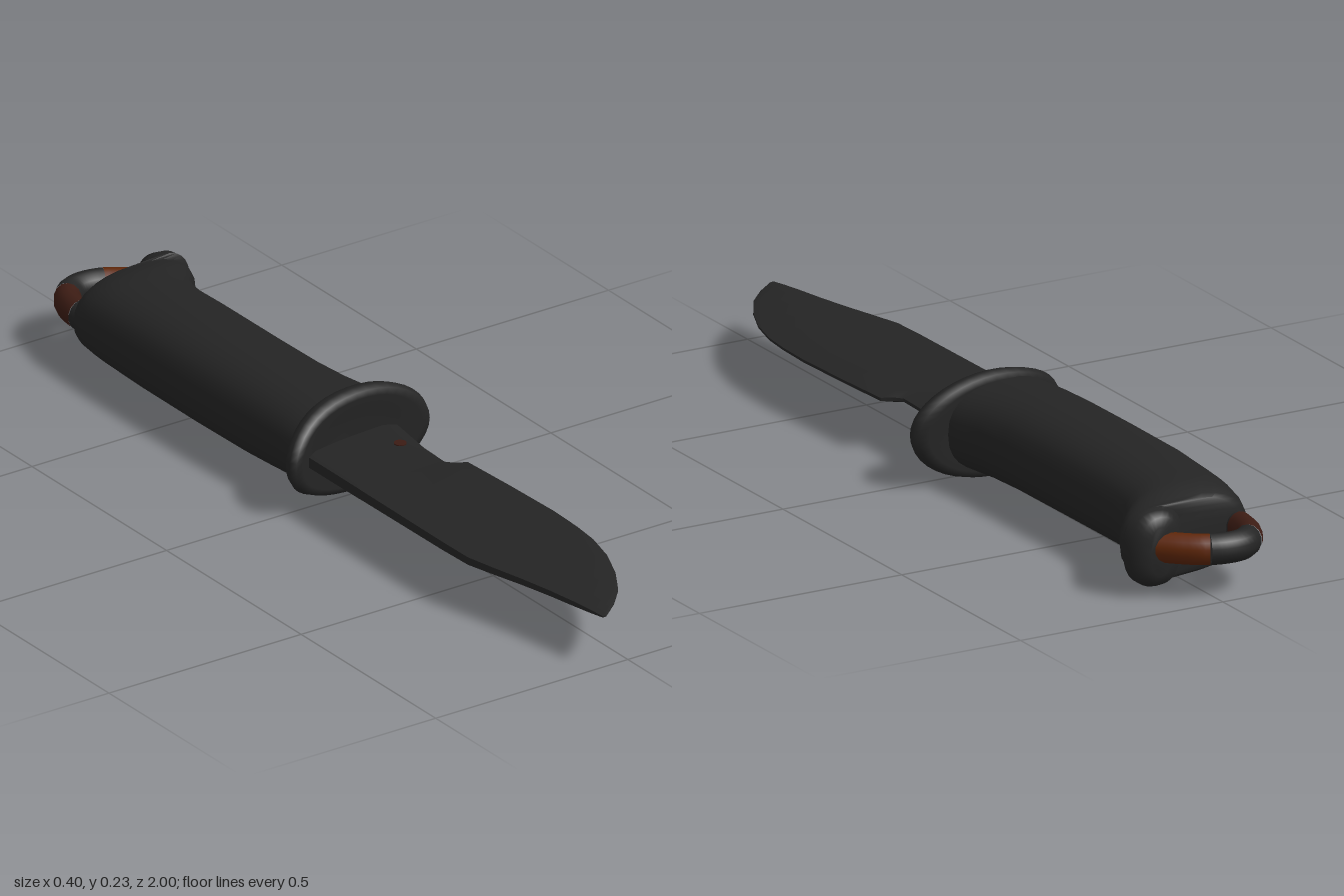
import * as THREE from 'three';
import { toCreasedNormals } from 'three/addons/utils/BufferGeometryUtils.js';

const mat = (name, color) => {
  const m = new THREE.MeshStandardMaterial({ color });
  m.name = name;
  return m;
};

// Skin closed rings of [x, y, z], counter-clockwise seen from +z, ordered by rising z
function loft(rings, crease) {
  const n = rings[0].length, pos = rings.flat(2), idx = [];
  for (let i = 0; i < rings.length - 1; i++) {
    for (let j = 0; j < n; j++) {
      const k = (j + 1) % n, a = i * n + j, b = i * n + k;
      idx.push(a, b, b + n, a, b + n, a + n);
    }
  }
  const last = (rings.length - 1) * n;
  for (let j = 1; j < n - 1; j++) {
    idx.push(0, j + 1, j, last, last + j, last + j + 1);
  }
  const g = new THREE.BufferGeometry();
  g.setAttribute('position', new THREE.Float32BufferAttribute(pos, 3));
  g.setIndex(idx);
  return toCreasedNormals(g, crease);
}

// Rounded, slightly squared cross-section
function ovalRing([z, xl, xr, yb, yt], n = 28) {
  const f = v => Math.sign(v) * Math.pow(Math.abs(v), 0.82);
  return Array.from({ length: n }, (_, j) => {
    const a = j / n * Math.PI * 2;
    return [(xl + xr) / 2 + f(Math.cos(a)) * (xr - xl) / 2,
      (yb + yt) / 2 + f(Math.sin(a)) * (yt - yb) / 2, z];
  });
}

export function createModel() {
  const black = mat('black', 0x242424);
  const rust = mat('rust', 0x5e2608);
  const brown = mat('dark brown', 0x3c1c14);
  const model = new THREE.Group();
  const add = (name, geo, material) => {
    const m = new THREE.Mesh(geo, material);
    m.name = name;
    model.add(m);
    return m;
  };

  // Grip with the hooked butt: z, left x, right x, bottom y, top y
  const grip = [
    [-0.912, 0.075, 0.125, 0.05, 0.16],
    [-0.905, 0.05, 0.145, 0.03, 0.18],
    [-0.885, 0.035, 0.162, 0.02, 0.19],
    [-0.866, 0.02, 0.168, 0.02, 0.192],
    [-0.858, -0.13, 0.166, 0.025, 0.192],
    [-0.845, -0.15, 0.163, 0.021, 0.196],
    [-0.82, -0.158, 0.15, 0.019, 0.205],
    [-0.79, -0.16, 0.125, 0.018, 0.211],
    [-0.75, -0.162, 0.104, 0.018, 0.214],
    [-0.69, -0.164, 0.092, 0.018, 0.217],
    [-0.6, -0.166, 0.09, 0.016, 0.222],
    [-0.4, -0.166, 0.09, 0.015, 0.223],
    [-0.23, -0.164, 0.093, 0.016, 0.223],
    [-0.14, -0.161, 0.103, 0.018, 0.222],
    [-0.08, -0.159, 0.118, 0.02, 0.22],
    [-0.03, -0.157, 0.13, 0.022, 0.218],
  ];
  add('grip', loft(grip.map(r => ovalRing(r)), 0.9), black);

  // Oval hand guard, its left end swept towards the blade
  const rim = [[0, -0.02], [0.3, -0.02], [0.6, -0.02], [0.85, -0.024], [0.96, -0.019], [1, 0],
    [0.96, 0.019], [0.85, 0.024], [0.6, 0.018], [0.3, 0.018], [0, 0.018]];
  const guard = new THREE.LatheGeometry(rim.map(p => new THREE.Vector2(...p)), 40);
  guard.rotateX(Math.PI / 2);
  const p = guard.attributes.position;
  for (let i = 0; i < p.count; i++) {
    const u = p.getX(i);
    const bend = -0.027 - 0.018 * u + (u < 0 ? 0.04 : 0.014) * Math.pow(Math.abs(u), 3);
    p.setXYZ(i, u * 0.202, 0.118 + p.getY(i) * 0.117, p.getZ(i) + bend);
  }
  guard.computeVertexNormals();
  add('guard', guard, black);

  // Blade: z, spine x, edge x, half thickness
  const blade = [
    [-0.04, -0.145, 0.115, 0.015],
    [0.04, -0.145, 0.103, 0.015],
    [0.11, -0.145, 0.093, 0.015],
    [0.19, -0.145, 0.09, 0.0145],
    [0.205, -0.145, 0.103, 0.0145],
    [0.22, -0.145, 0.13, 0.014],
    [0.36, -0.145, 0.138, 0.013],
    [0.52, -0.145, 0.144, 0.012],
    [0.61, -0.143, 0.141, 0.011],
    [0.68, -0.127, 0.134, 0.01],
    [0.76, -0.107, 0.114, 0.009],
    [0.84, -0.09, 0.08, 0.008],
    [0.91, -0.078, 0.038, 0.007],
    [0.96, -0.07, -0.008, 0.005],
    [0.998, -0.064, -0.054, 0.002],
  ];
  add('blade', loft(blade.map(([z, l, r, t]) => {
    const w = r - l, y = 0.119, e = t * 0.25;
    return [[l, y - t * 0.8, z], [l + w * 0.08, y - t, z], [r - w * 0.14, y - t * 0.9, z], [r, y - e, z],
      [r, y + e, z], [r - w * 0.14, y + t * 0.9, z], [l + w * 0.08, y + t, z], [l, y + t * 0.8, z]];
  }), 0.5), black);

  // Small mark on the blade face
  const mark = add('bladeMark', new THREE.CylinderGeometry(0.014, 0.014, 0.003, 16), brown);
  mark.position.set(0.052, 0.1335, 0.08);

  // Lanyard loop, split into coloured stretches along one curve
  const path = new THREE.CatmullRomCurve3([
    [-0.118, -0.82], [-0.119, -0.88], [-0.103, -0.935], [-0.07, -0.966], [-0.03, -0.972],
    [0.015, -0.96], [0.055, -0.93], [0.105, -0.88],
  ].map(([x, z]) => new THREE.Vector3(x, 0.11, z)));
  const stretches = [
    ['loopRoot', 0, 0.12, black], ['loopLeftBand', 0.12, 0.36, brown],
    ['loopTop', 0.36, 0.66, black], ['loopRightBand', 0.66, 1, rust],
  ];
  for (const [name, a, b, material] of stretches) {
    const pts = Array.from({ length: 9 }, (_, i) => path.getPointAt(a + (b - a) * i / 8));
    const tube = new THREE.TubeGeometry(new THREE.CatmullRomCurve3(pts), 12, 0.03, 14);
    tube.translate(0, -0.11, 0).scale(1, 1.15, 1).translate(0, 0.11, 0);
    add(name, tube, material);
  }
  return model;
}
